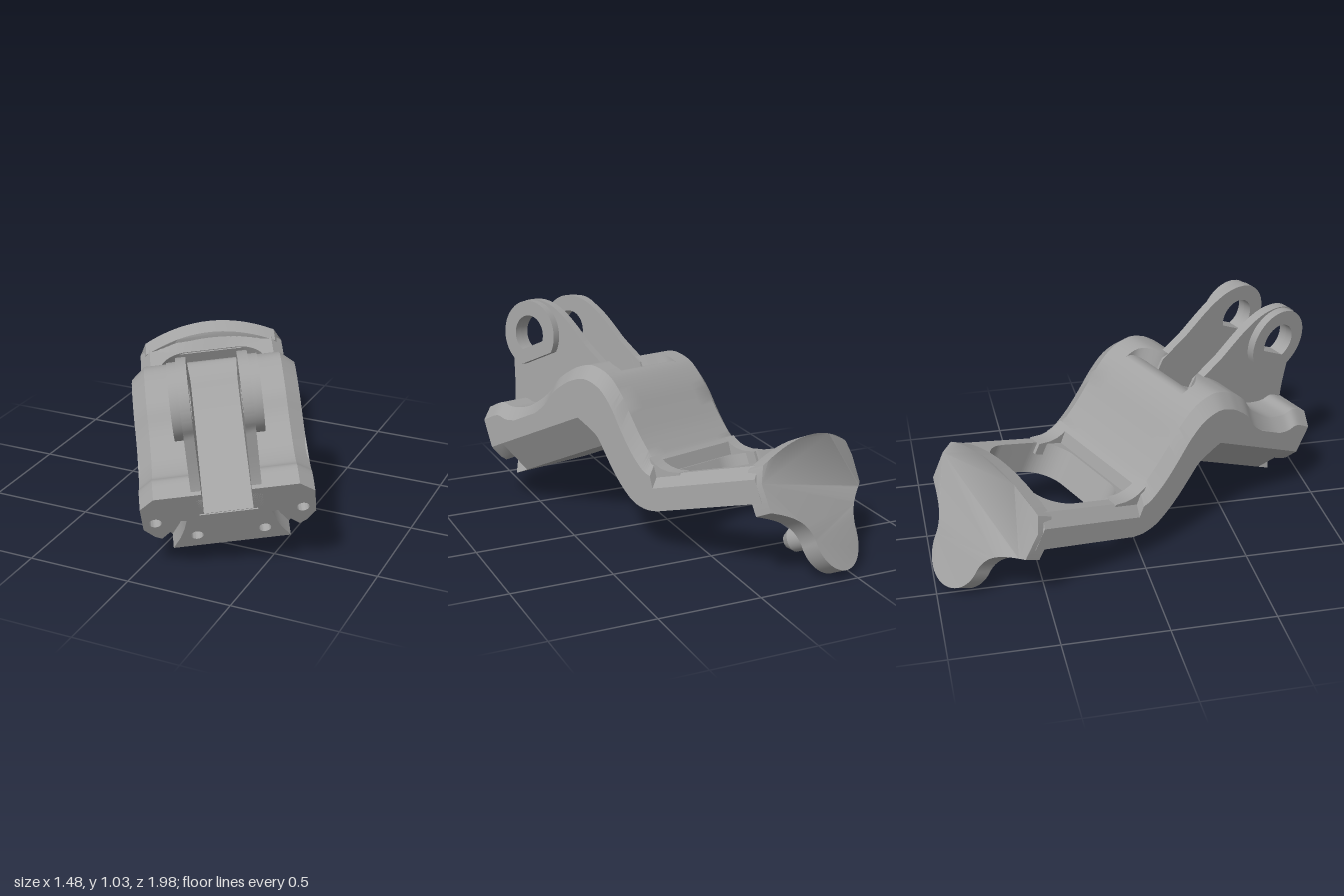
import * as THREE from 'three';
import { toCreasedNormals } from 'three/addons/utils/BufferGeometryUtils.js';

const metal = new THREE.MeshStandardMaterial({ color: 0xa2a2a2 });
metal.name = 'grey metal';

// Local frame: x across the bracket, y out of its top, z along it (front face at z = 0).
export function createModel() {
  const model = new THREE.Group();
  model.name = 'bracket';
  const body = new THREE.Group();
  body.name = 'tiltedBody';
  model.add(body);

  const add = (name, geometry) => {
    const mesh = new THREE.Mesh(toCreasedNormals(geometry, 0.55), metal);
    mesh.name = name;
    body.add(mesh);
  };
  const shapeOf = pts => new THREE.Shape(pts.map(p => new THREE.Vector2(p[0], p[1])));
  const extrude = (shape, depth, steps = 1) =>
    new THREE.ExtrudeGeometry(shape, { depth, steps, bevelEnabled: false, curveSegments: 20 });
  const across = (shape, x0, x1) =>
    extrude(shape, x1 - x0).rotateY(-Math.PI / 2).translate(x1, 0, 0);
  const mirrored = half => [...half, ...half.slice().reverse().map(([x, y]) => [-x, y])];
  const circle = (x, y, r) => new THREE.Path().absarc(x, y, r, 0, Math.PI * 2, true);

  // Base block: front slice with screw notches and holes
  const nose = shapeOf(mirrored([[0.266, -0.21], [0.228, -0.14], [0.205, -0.08], [0.19, -0.02],
    [0.25, -0.01], [0.262, -0.08], [0.31, -0.13], [0.34, -0.11], [0.385, -0.05], [0.385, 0.04],
    [0.13, 0.04], [0.13, 0.01]]));
  for (const s of [-1, 1]) {
    nose.holes.push(circle(s * 0.328, -0.012, 0.028), circle(s * 0.1525, -0.133, 0.028));
  }
  add('blockFront', extrude(nose, 0.08).translate(0, 0, -0.08));

  // Base block: rear part, its back end slanting
  const blockGeo = extrude(shapeOf(mirrored([[0.266, -0.21], [0.385, -0.05], [0.385, 0.04],
    [0.13, 0.04], [0.13, 0.01]])), 0.55).translate(0, 0, -0.63);
  const bp = blockGeo.attributes.position;
  for (let i = 0; i < bp.count; i++) {
    if (bp.getZ(i) < -0.5) bp.setZ(i, -0.63 + Math.min(0, bp.getY(i) + 0.05) * 0.7);
  }
  add('blockRear', blockGeo);

  // Saddle and S-bend, each station: top z, top y, groove y, bottom z, bottom y
  const stations = [
    [0, 0.155, 0.02, 0, 0.018], [-0.1, 0.155, 0.022, -0.1, 0.018],
    [-0.16, 0.115, 0.023, -0.16, 0.018], [-0.28, 0.09, 0.025, -0.28, 0.018],
    [-0.42, 0.115, 0.03, -0.42, 0.018], [-0.52, 0.165, 0.04, -0.52, 0.018],
    [-0.6, 0.183, 0.06, -0.58, 0.0], [-0.67, 0.188, 0.085, -0.63, -0.05],
    [-0.76, 0.17, 0.115, -0.68, -0.11], [-0.84, 0.1, 0.1, -0.72, -0.17],
    [-0.882, 0, 0, -0.74, -0.26], [-0.905, -0.12, -0.12, -0.76, -0.35],
    [-0.925, -0.22, -0.22, -0.79, -0.44], [-0.945, -0.29, -0.29, -0.83, -0.515],
    [-0.96, -0.335, -0.335, -0.89, -0.565], [-0.975, -0.36, -0.36, -0.955, -0.588]];
  const curveOf = pick => new THREE.CatmullRomCurve3(
    stations.map(s => new THREE.Vector3(...pick(s))), false, 'catmullrom');
  const topCurve = curveOf(s => [s[0], s[1], s[2]]);
  const lowCurve = curveOf(s => [s[3], s[4], 0]);
  const steps = 60, n = 10, pos = [], index = [];
  let front;
  for (let i = 0; i <= steps; i++) {
    const t = topCurve.getPoint(i / steps), s = lowCurve.getPoint(i / steps);
    const k = Math.min(0.06 / Math.hypot(s.x - t.x, s.y - t.y), 0.8);
    const ez = t.x + (s.x - t.x) * k, ey = t.y + (s.y - t.y) * k;
    const groove = Math.min(t.z, t.y);
    const gw = 0.11 + 0.1 * THREE.MathUtils.smoothstep(-t.x, 0.66, 0.8);
    const half = [[0.385, s.y, s.x], [0.385, ey, ez], [0.32, t.y, t.x], [gw, t.y, t.x], [gw, groove, t.x]];
    const ring = [...half, ...half.slice().reverse().map(([x, y, z]) => [-x, y, z])];
    if (i === 0) front = ring.map(p => new THREE.Vector2(p[0], p[1]));
    ring.forEach(p => pos.push(...p));
    if (i < steps) {
      for (let j = 0; j < n; j++) {
        const a = i * n + j, b = i * n + (j + 1) % n;
        index.push(a, a + n, b, b, a + n, b + n);
      }
    }
  }
  for (const tri of THREE.ShapeUtils.triangulateShape(front, [])) index.push(...tri);
  const last = steps * n;
  for (let j = 1; j < n - 1; j++) index.push(last, last + j + 1, last + j);
  const loft = new THREE.BufferGeometry();
  loft.setAttribute('position', new THREE.Float32BufferAttribute(pos, 3));
  loft.setIndex(index);
  add('saddleBend', loft.toNonIndexed());

  // Rear frame: rounded window and bevelled upper edges
  const deck = shapeOf(mirrored([[0.385, 0.94], [0.385, 1.55]]));
  const w = 0.285, z0 = 0.985, z1 = 1.475, r = 0.15;
  const win = new THREE.Path();
  win.absarc(w - r, z1 - r, r, 0, Math.PI / 2);
  win.absarc(-w + r, z1 - r, r, Math.PI / 2, Math.PI);
  win.absarc(-w + r, z0 + r, r, Math.PI, Math.PI * 1.5);
  win.absarc(w - r, z0 + r, r, Math.PI * 1.5, Math.PI * 2);
  deck.holes.push(win);
  const deckGeo = extrude(deck, 0.165, 3).rotateX(-Math.PI / 2);
  const dp = deckGeo.attributes.position;
  for (let i = 0; i < dp.count; i++) {
    const x = dp.getX(i), y = dp.getY(i);
    if (y > 0.16 && Math.abs(x) > 0.38) dp.setX(i, Math.sign(x) * 0.33);
    dp.setY(i, y - 0.6 + (dp.getZ(i) + 1.04) * 0.144);
  }
  add('rearFrame', deckGeo);

  // Fillets easing the bend into the two side arms
  const fillet = shapeOf([[-0.96, -0.5], [-0.96, -0.335], [-0.985, -0.376], [-1.01, -0.401],
    [-1.05, -0.425], [-1.11, -0.444], [-1.11, -0.5]]);
  add('leftArmFillet', across(fillet, 0.265, 0.34));
  add('rightArmFillet', across(fillet, -0.34, -0.265));

  // Sloping wall from the window up to the arched rim of the end plate
  const wall = new THREE.BoxGeometry(0.64, 0.1, 0.11, 20, 1, 1).translate(0, -0.555, -1.525);
  const wp = wall.attributes.position;
  for (let i = 0; i < wp.count; i++) {
    if (wp.getY(i) > -0.55 && wp.getZ(i) < -1.55) {
      wp.setY(i, -0.515 + 0.07 * (1 - (wp.getX(i) / 0.32) ** 2));
    }
  }
  add('rearWall', wall.toNonIndexed());

  // End plate: arched top, rounded lower lobe, slightly bowed across its width
  const plate = new THREE.Shape();
  plate.moveTo(0.385, -0.59);
  plate.lineTo(0.35, -0.515);
  plate.quadraticCurveTo(0, -0.365, -0.35, -0.515);
  plate.lineTo(-0.385, -0.59);
  plate.lineTo(-0.38, -0.725);
  plate.bezierCurveTo(-0.27, -0.77, -0.185, -0.81, -0.17, -0.91);
  plate.absarc(0, -0.91, 0.17, Math.PI, Math.PI * 2);
  plate.bezierCurveTo(0.185, -0.81, 0.27, -0.77, 0.38, -0.725);
  plate.closePath();
  const plateGeo = extrude(plate, 0.085).translate(0, 0, -1.635);
  const pp = plateGeo.attributes.position;
  for (let i = 0; i < pp.count; i++) {
    pp.setZ(i, pp.getZ(i) + 0.055 * (pp.getX(i) / 0.385) ** 2);
  }
  add('endPlate', plateGeo);

  // Locating pin
  add('pin', new THREE.CylinderGeometry(0.06, 0.06, 0.18, 28).rotateX(Math.PI / 2)
    .translate(0, -0.89, -1.48));
  add('pinTip', new THREE.CylinderGeometry(0.035, 0.06, 0.04, 28).rotateX(Math.PI / 2)
    .translate(0, -0.89, -1.37));

  // Pair of ears with D-shaped holes and outer bosses
  const cz = -0.29, cy = 0.45;
  const dPath = (path, radius, flat) => {
    const a = Math.asin(flat / radius);
    path.absarc(cz, cy, radius, -a, Math.PI + a);
    path.closePath();
    return path;
  };
  const ear = new THREE.Shape();
  ear.moveTo(-0.69, 0.02);
  ear.lineTo(0, 0.02);
  ear.lineTo(0, 0.12);
  ear.bezierCurveTo(-0.05, 0.2, -0.07, 0.28, cz + 0.175, cy - 0.04);
  ear.absarc(cz, cy, 0.175, -0.1, Math.PI * 0.6);
  ear.bezierCurveTo(-0.49, 0.57, -0.54, 0.42, -0.6, 0.3);
  ear.lineTo(-0.69, 0.155);
  ear.closePath();
  ear.holes.push(dPath(new THREE.Path(), 0.095, 0.06));
  const boss = dPath(new THREE.Shape(), 0.17, 0.13);
  boss.holes.push(dPath(new THREE.Path(), 0.095, 0.06));
  add('leftEar', across(ear, 0.11, 0.155));
  add('leftEarBoss', across(boss, 0.155, 0.195));
  add('rightEar', across(ear, -0.155, -0.11));
  add('rightEarBoss', across(boss, -0.195, -0.155));

  // Tilt the whole bracket into its pose
  const u = new THREE.Vector3(0.885, 0.104, -0.452).normalize();
  const f = new THREE.Vector3(0.451, -0.425, 0.785);
  f.addScaledVector(u, -f.dot(u)).normalize();
  const up = new THREE.Vector3().crossVectors(f, u);
  body.applyMatrix4(new THREE.Matrix4().makeBasis(u, up, f).setPosition(0.39, 0.305, 0.768));
  return model;
}
